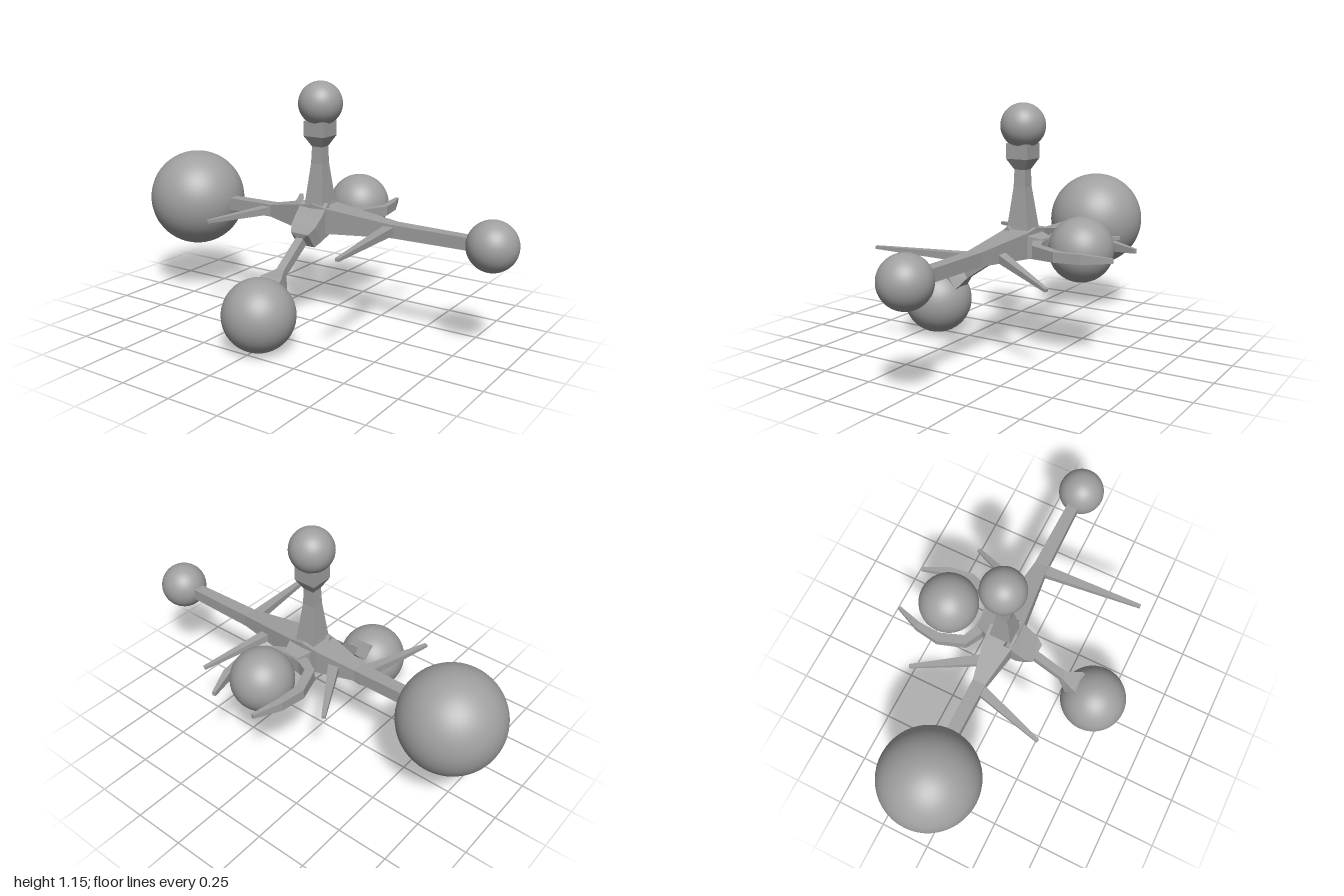
import * as THREE from 'three';

const grey = new THREE.MeshStandardMaterial({ color: 0xa0a0a0 });
grey.name = 'grey';

const Y = new THREE.Vector3(0, 1, 0);
const Z = new THREE.Vector3(0, 0, 1);

// Faceted four-sided beam through sections [x, y, z, halfWidth, halfHeight]
function beam(name, sections, ref = Y) {
  const points = sections.map(s => new THREE.Vector3(s[0], s[1], s[2]));
  const rings = sections.map((s, i) => {
    const t = points[Math.min(i + 1, points.length - 1)].clone()
      .sub(points[Math.max(i - 1, 0)]).normalize();
    const side = new THREE.Vector3().crossVectors(ref, t).normalize();
    const up = new THREE.Vector3().crossVectors(t, side);
    return [[-1, -1], [1, -1], [1, 1], [-1, 1]].map(([a, b]) =>
      points[i].clone().addScaledVector(side, a * s[3]).addScaledVector(up, b * s[4]));
  });
  const pos = [];
  const quad = (a, b, c, d) => [a, b, c, a, c, d].forEach(p => pos.push(p.x, p.y, p.z));
  for (let i = 0; i < rings.length - 1; i++) {
    for (let j = 0; j < 4; j++) {
      const k = (j + 1) % 4;
      quad(rings[i][j], rings[i][k], rings[i + 1][k], rings[i + 1][j]);
    }
  }
  const first = rings[0], last = rings[rings.length - 1];
  quad(first[3], first[2], first[1], first[0]);
  quad(last[0], last[1], last[2], last[3]);
  const geo = new THREE.BufferGeometry();
  geo.setAttribute('position', new THREE.Float32BufferAttribute(pos, 3));
  geo.computeVertexNormals();
  const mesh = new THREE.Mesh(geo, grey);
  mesh.name = name;
  return mesh;
}

function ball(name, x, y, z, r) {
  const mesh = new THREE.Mesh(new THREE.SphereGeometry(r, 48, 32), grey);
  mesh.position.set(x, y, z);
  mesh.name = name;
  return mesh;
}

export function createModel() {
  const g = new THREE.Group();
  g.name = 'ballSculpture';

  // Five balls
  g.add(
    ball('largeBall', -0.758, 0.506, -0.065, 0.242),
    ball('smallBall', 0.882, 0.507, -0.065, 0.114),
    ball('topBall', 0.01, 1.05, -0.065, 0.104),
    ball('frontBall', 0.012, 0.168, 0.428, 0.167),
    ball('backBall', 0.038, 0.515, -0.383, 0.147),
  );

  // Crossbar swelling into the core
  g.add(beam('crossbar', [
    [-0.56, 0.505, -0.065, 0.03, 0.03],
    [-0.26, 0.506, -0.065, 0.033, 0.03],
    [-0.07, 0.51, -0.067, 0.068, 0.06],
    [0.01, 0.512, -0.067, 0.072, 0.072],
    [0.085, 0.51, -0.067, 0.068, 0.06],
    [0.41, 0.506, -0.065, 0.034, 0.031],
    [0.80, 0.505, -0.065, 0.028, 0.028],
  ]));

  // Post with its flared head
  g.add(beam('post', [
    [0.01, 0.46, -0.067, 0.07, 0.07],
    [0.01, 0.59, -0.065, 0.05, 0.054],
    [0.01, 0.77, -0.063, 0.031, 0.03],
    [0.01, 0.85, -0.063, 0.027, 0.028],
    [0.01, 0.90, -0.063, 0.055, 0.056],
    [0.01, 0.97, -0.063, 0.055, 0.056],
  ], Z));

  // Sloping front leg: stump, strut and flared foot
  g.add(beam('frontLeg', [
    [0.01, 0.535, -0.065, 0.072, 0.07],
    [0.01, 0.487, 0.0, 0.072, 0.058],
    [0.01, 0.455, 0.05, 0.066, 0.048],
    [0.01, 0.43, 0.083, 0.05, 0.043],
    [0.008, 0.425, 0.092, 0.02, 0.022],
    [0.008, 0.315, 0.25, 0.021, 0.019],
    [0.012, 0.28, 0.312, 0.055, 0.043],
    [0.012, 0.265, 0.33, 0.055, 0.043],
  ]));

  // Back neck and two-pronged fork around the back ball
  g.add(beam('backNeck', [
    [0.02, 0.508, -0.07, 0.07, 0.06],
    [0.025, 0.506, -0.14, 0.065, 0.052],
    [0.025, 0.504, -0.2, 0.04, 0.04],
  ]));
  for (const [name, s] of [['leftProng', 1], ['rightProng', -1]]) {
    const x = d => 0.025 + s * d;
    g.add(beam(name, [
      [x(-0.01), 0.505, -0.18, 0.024, 0.036],
      [x(0.06), 0.505, -0.188, 0.024, 0.034],
      [x(0.128), 0.506, -0.222, 0.023, 0.03],
      [x(0.172), 0.508, -0.345, 0.023, 0.023],
      [x(0.16), 0.508, -0.46, 0.017, 0.022],
      [x(0.115), 0.506, -0.588, 0.008, 0.01],
    ]));
  }

  // Four thorns growing from the crossbar: root, tip, root half width
  const thorns = [
    ['frontRightThorn', [-0.28, 0.506, -0.06], [-0.385, 0.505, 0.3], 0.026],
    ['frontLeftThorn', [0.395, 0.507, -0.06], [0.435, 0.504, 0.457], 0.027],
    ['backRightThorn', [-0.14, 0.506, -0.09], [-0.33, 0.506, -0.402], 0.026],
    ['backLeftThorn', [0.255, 0.497, -0.08], [0.395, 0.411, -0.408], 0.024],
  ];
  for (const [name, root, tip, w] of thorns) {
    g.add(beam(name, [[...root, w, 0.02], [...tip, 0.009, 0.007]]));
  }
  return g;
}
